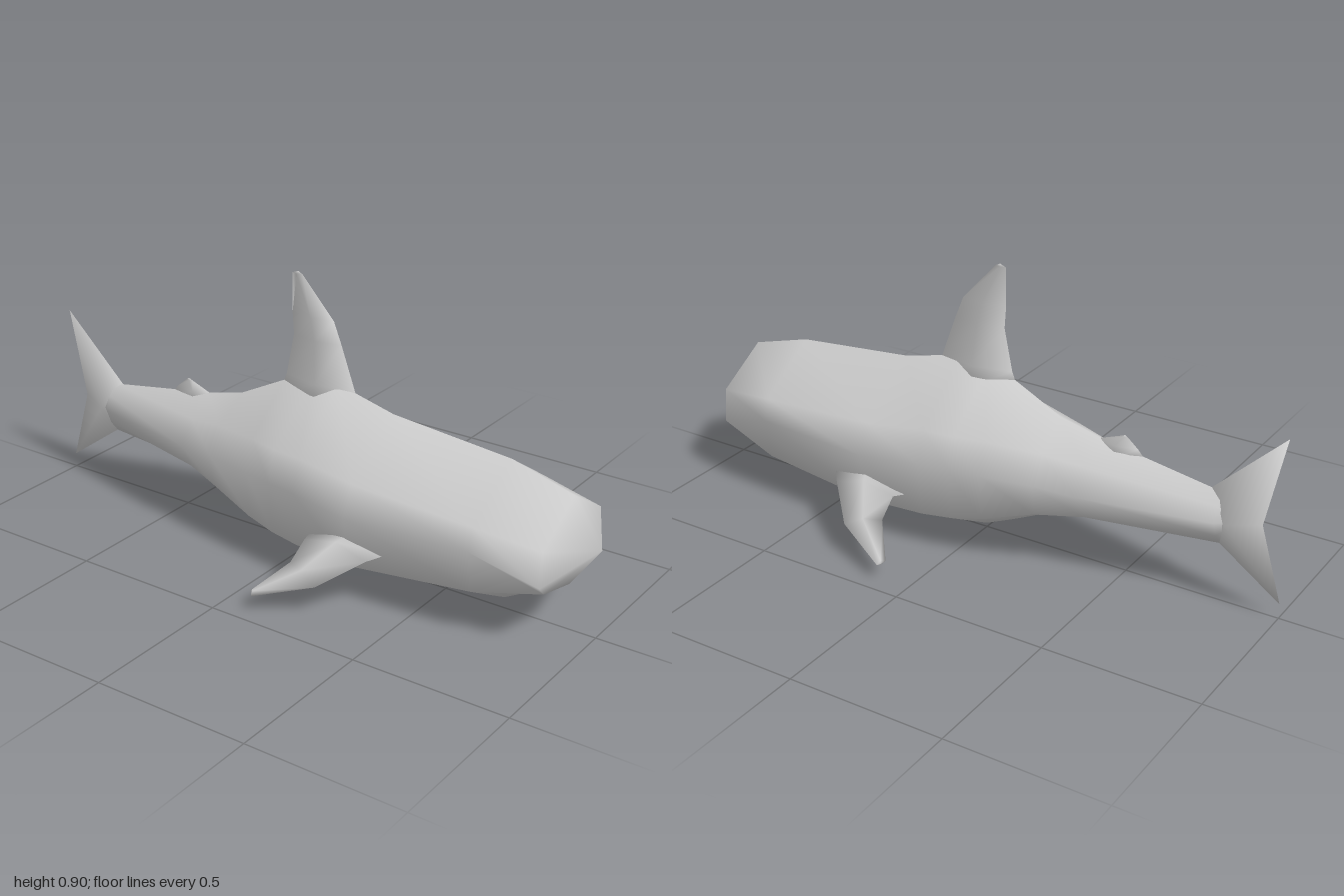
import * as THREE from 'three';

const material = new THREE.MeshStandardMaterial({ color: 0xcccccc });

// Smooth skin over rings of [x, y, z] points, closed by a point at each end
function loft(name, start, rings, end) {
  const n = rings[0].length;
  const points = [...rings.flat(), start, end];
  const s = points.length - 2, e = s + 1;
  const last = (rings.length - 1) * n;
  const index = [];
  for (let j = 0; j < n; j++) {
    const k = (j + 1) % n;
    index.push(k, j, s, last + j, last + k, e);
    for (let i = 0; i < last; i += n) {
      index.push(i + j, i + k, i + n + k, i + j, i + n + k, i + n + j);
    }
  }
  const geometry = new THREE.BufferGeometry();
  geometry.setAttribute('position', new THREE.Float32BufferAttribute(points.flat(), 3));
  geometry.setIndex(index);
  geometry.computeVertexNormals();
  const mesh = new THREE.Mesh(geometry, material);
  mesh.name = name;
  return mesh;
}

// Eight-sided symmetric body section
function section(z, top, [ux, uy], [mx, my], [lx, ly], bottom) {
  return [
    [0, top, z], [ux, uy, z], [mx, my, z], [lx, ly, z],
    [0, bottom, z], [-lx, ly, z], [-mx, my, z], [-ux, uy, z],
  ];
}

// Diamond section of an upright fin: [y, front z, back z, half width]
const uprightRing = ([y, front, back, w]) => {
  const mid = (front + back) / 2;
  return [[0, y, front], [w, y, mid], [0, y, back], [-w, y, mid]];
};

// Side fin sections: leading edge, underside, trailing edge, upper side
const sideFinRings = [
  [[0.215, 0.19, 0.43], [0.215, 0.135, 0.29], [0.215, 0.175, 0.15], [0.215, 0.225, 0.31]],
  [[0.27, 0.175, 0.385], [0.27, 0.135, 0.27], [0.27, 0.185, 0.17], [0.27, 0.208, 0.28]],
  [[0.375, 0.105, 0.28], [0.355, 0.09, 0.22], [0.335, 0.135, 0.165], [0.36, 0.135, 0.22]],
  [[0.45, 0.053, 0.105], [0.437, 0.05, 0.1], [0.425, 0.06, 0.09], [0.437, 0.063, 0.1]],
];

function sideFin(name, side) {
  const rings = sideFinRings.map((ring) => {
    const r = ring.map(([x, y, z]) => [x * side, y, z]);
    return side < 0 ? r.reverse() : r;
  });
  return loft(name, [0.215 * side, 0.18, 0.29], rings, [0.44 * side, 0.055, 0.098]);
}

export function createModel() {
  const model = new THREE.Group();
  model.name = 'shark';

  // Body, nose to tail root
  model.add(loft('body', [0, 0.285, 1], [
    section(0.905, 0.43, [0.175, 0.325], [0.184, 0.215], [0.155, 0.185], 0.148),
    section(0.7, 0.488, [0.208, 0.355], [0.226, 0.285], [0.205, 0.15], 0.038),
    section(0.3, 0.525, [0.215, 0.378], [0.26, 0.285], [0.225, 0.115], 0.003),
    section(0.1, 0.575, [0.2, 0.4], [0.234, 0.3], [0.215, 0.12], 0.01),
    section(0, 0.548, [0.19, 0.4], [0.218, 0.3], [0.205, 0.13], 0.016),
    section(-0.1, 0.54, [0.165, 0.4], [0.2, 0.3], [0.19, 0.15], 0.06),
    section(-0.265, 0.457, [0.12, 0.385], [0.169, 0.3], [0.158, 0.2], 0.138),
    section(-0.4, 0.425, [0.09, 0.365], [0.145, 0.29], [0.1, 0.205], 0.154),
    section(-0.8, 0.36, [0.03, 0.325], [0.05, 0.28], [0.03, 0.23], 0.192),
  ], [0, 0.28, -0.86]));

  // Tail fin, a thin crescent swelling toward its middle
  model.add(loft('tailFin', [-0.042, 0.28, -0.83], [[
    [0, 0.58, -0.99], [0, 0.365, -0.765], [0, 0.192, -0.8],
    [0, 0.05, -1], [0, 0.29, -0.93],
  ]], [0.042, 0.28, -0.83]));

  // Fins on the back
  model.add(loft('dorsalFin', [0, 0.5, 0.04], [
    [0.5, 0.185, -0.115, 0.036],
    [0.565, 0.162, -0.09, 0.032],
    [0.7, 0.113, -0.062, 0.019],
    [0.77, 0.085, -0.067, 0.014],
    [0.895, -0.03, -0.066, 0.005],
  ].map(uprightRing), [0, 0.903, -0.045]));
  model.add(loft('rearDorsalFin', [0, 0.38, -0.46], [
    [0.38, -0.34, -0.56, 0.022],
    [0.42, -0.385, -0.525, 0.016],
    [0.45, -0.465, -0.49, 0.004],
  ].map(uprightRing), [0, 0.456, -0.48]));

  // Paired side fins
  model.add(sideFin('leftSideFin', 1), sideFin('rightSideFin', -1));
  return model;
}
